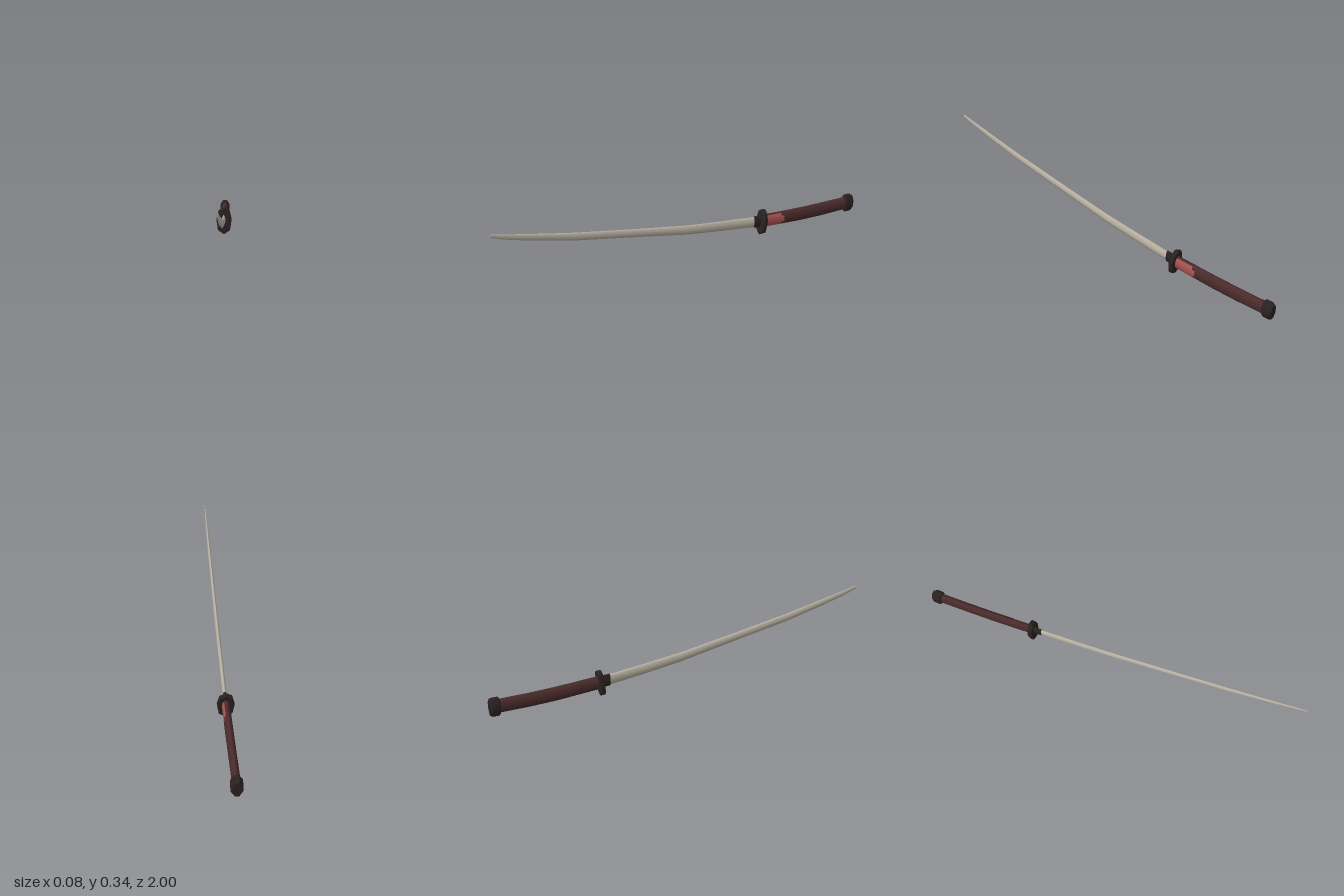
import * as THREE from 'three';
import { toCreasedNormals } from 'three/addons/utils/BufferGeometryUtils.js';

const mat = (name, color) => new THREE.MeshStandardMaterial({ name, color });

// Unit ellipse section: x and y in -1..1, counter-clockwise from the front
const ellipse = (n, offset = 0) => Array.from({ length: n }, (_, i) => {
  const a = ((i + offset) / n) * Math.PI * 2;
  return [Math.cos(a), Math.sin(a)];
});

// Skin a section along stations [z, bottom, top, halfWidth, centreX], front to back.
// slot(i, j) picks the material index of each side face.
function loft(section, stations, slot = () => 0, lean = 0) {
  const n = section.length, pos = [], faces = [[], []];
  const addRing = ([z, lo, hi, w, cx = 0]) => {
    const start = pos.length / 3, mid = (lo + hi) / 2;
    for (const [u, v] of section) {
      const dy = v * (hi - lo) / 2;
      pos.push(cx + u * w, mid + dy, z - dy * lean);
    }
    return start;
  };
  stations.forEach(addRing);
  for (let i = 0; i < stations.length - 1; i++) {
    for (let j = 0; j < n; j++) {
      const k = (j + 1) % n, a = i * n, b = a + n;
      faces[slot(i, j)].push(a + j, b + j, a + k, a + k, b + j, b + k);
    }
  }
  // End caps with their own vertices
  const front = addRing(stations[0]), back = addRing(stations.at(-1));
  for (let j = 1; j < n - 1; j++) {
    faces[0].push(front, front + j, front + j + 1, back, back + j + 1, back + j);
  }
  const g = new THREE.BufferGeometry();
  g.setAttribute('position', new THREE.Float32BufferAttribute(pos, 3));
  g.setIndex([...faces[0], ...faces[1]]);
  g.addGroup(0, faces[0].length, 0);
  if (faces[1].length) g.addGroup(faces[0].length, faces[1].length, 1);
  g.computeVertexNormals();
  return g;
}

export function createModel() {
  const steel = mat('steel', 0xbdb5a6);
  const wrap = mat('dark red wrap', 0x4a2b2b);
  const red = mat('red inlay', 0xa85252);
  const iron = mat('dark iron', 0x2b2121);

  const group = new THREE.Group();
  const add = (name, geometry, material) => {
    const mesh = new THREE.Mesh(geometry, material);
    mesh.name = name;
    group.add(mesh);
  };

  // Curved blade: narrow spine above, ridge in the middle, sharp edge below
  const bladeSection = [[0, -1], [0.6, -0.5], [1, 0.1], [0.6, 0.75], [0, 1],
    [-0.6, 0.75], [-1, 0.1], [-0.6, -0.5]];
  add('blade', loft(bladeSection, [
    [1.0, 0.323, 0.342, 0.002], [0.92, 0.295, 0.324, 0.004],
    [0.8, 0.262, 0.298, 0.006], [0.6, 0.213, 0.256, 0.008],
    [0.3, 0.158, 0.203, 0.009], [0.0, 0.101, 0.153, 0.01],
    [-0.2, 0.074, 0.13, 0.01], [-0.44, 0.046, 0.106, 0.01],
  ]), steel);

  // Collar between blade and guard
  add('collar', toCreasedNormals(loft(ellipse(8, 0.5), [
    [-0.39, 0.048, 0.114, 0.012], [-0.45, 0.042, 0.112, 0.013],
  ]), 0.6), iron);

  // Eight-sided bevelled guard, leaning slightly back
  const guardSection = [[0, -1], [0.78, -0.7], [1, 0.1], [0.72, 0.76], [0, 1],
    [-0.72, 0.76], [-1, 0.1], [-0.78, -0.7]];
  add('guard', toCreasedNormals(loft(guardSection, [
    [-0.427, 0.006, 0.139, 0.038], [-0.432, 0.0, 0.145, 0.042],
    [-0.447, 0.0, 0.145, 0.042], [-0.452, 0.006, 0.139, 0.038],
  ], () => 0, 0.09), 0.6), iron);

  // Grip with a round-ended inlay on its left side
  const inlay = (i, j) => (
    (i === 0 && [0, 1, 10, 11].includes(j)) || (i === 1 && [0, 11].includes(j)) ? 1 : 0);
  add('grip', loft(ellipse(12), [
    [-0.44, 0.04, 0.113, 0.019], [-0.55, 0.034, 0.108, 0.02, -0.001],
    [-0.567, 0.033, 0.107, 0.02, -0.001], [-0.67, 0.027, 0.103, 0.02, -0.002],
    [-0.8, 0.025, 0.101, 0.02, -0.003], [-0.96, 0.028, 0.102, 0.02, -0.004],
  ], inlay), [wrap, red]);

  // Pommel cap
  add('pommel', toCreasedNormals(loft(ellipse(8, 0.5), [
    [-0.948, 0.022, 0.107, 0.025, -0.004], [-0.955, 0.014, 0.114, 0.03, -0.004],
    [-0.988, 0.014, 0.114, 0.03, -0.004], [-1.0, 0.022, 0.107, 0.023, -0.004],
  ]), 0.6), iron);

  return group;
}
